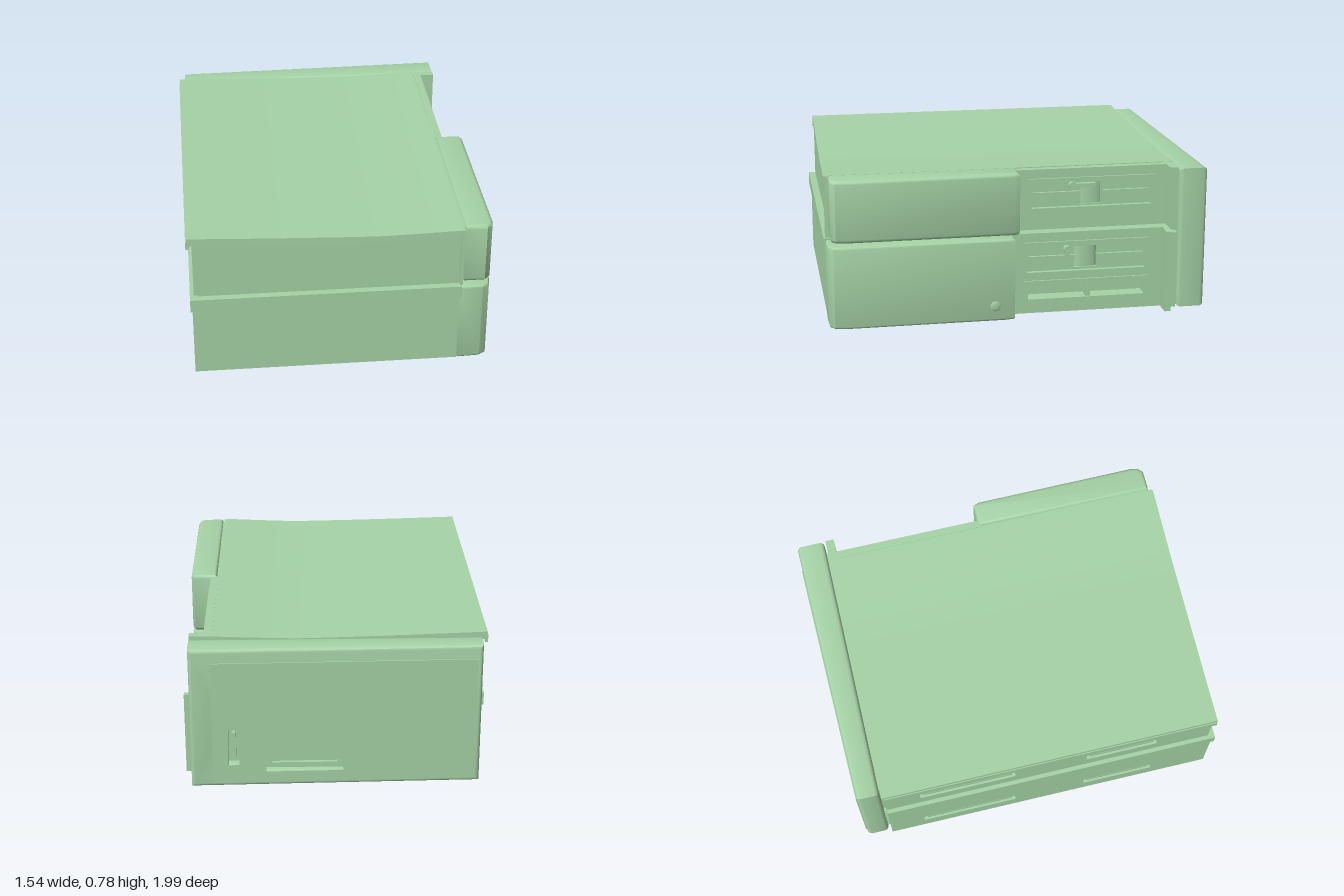
import * as THREE from 'three';
import { toCreasedNormals } from 'three/addons/utils/BufferGeometryUtils.js';

const mat = new THREE.MeshStandardMaterial({ color: 0xa6d3a6 });

export function createModel() {
  const root = new THREE.Group();
  root.name = 'stackedDriveUnits';

  const add = (name, geo, parent = root) => {
    const m = new THREE.Mesh(geo, mat);
    m.name = name;
    parent.add(m);
    return m;
  };

  // Box given by its limits on each axis
  const box = (name, [x0, x1], [y0, y1], [z0, z1], parent) => {
    const g = new THREE.BoxGeometry(x1 - x0, y1 - y0, z1 - z0);
    g.translate((x0 + x1) / 2, (y0 + y1) / 2, (z0 + z1) / 2);
    return add(name, g, parent);
  };

  const rect = (Type, [u0, u1], [v0, v1]) => {
    const p = new Type();
    p.moveTo(u0, v0); p.lineTo(u1, v0); p.lineTo(u1, v1); p.lineTo(u0, v1); p.closePath();
    return p;
  };

  // Upright plate across z and y with rectangular holes, facing +x (side 1) or -x (side -1)
  const plate = (name, side, [x0, x1], y, z, holes, parent) => {
    const toU = ([a, b]) => side > 0 ? [-b, -a] : [a, b];
    const s = rect(THREE.Shape, toU(z), y);
    for (const h of holes) s.holes.push(rect(THREE.Path, toU(h.z), h.y));
    const g = new THREE.ExtrudeGeometry(s, { depth: x1 - x0, bevelEnabled: false });
    g.rotateY(side * Math.PI / 2);
    g.translate(side > 0 ? x0 : x1, 0, 0);
    return add(name, g, parent);
  };

  // Block drawn in plan (x, z), raised along y with rounded edges
  const planBlock = (name, pts, [y0, y1], bevel, parent) => {
    const s = new THREE.Shape(pts.map(([x, z]) => new THREE.Vector2(x, -z)));
    let g = new THREE.ExtrudeGeometry(s, {
      depth: y1 - y0 - 2 * bevel, bevelThickness: bevel, bevelSize: bevel,
      bevelOffset: -bevel, bevelSegments: 3,
    });
    g.rotateX(-Math.PI / 2);
    g.translate(0, y0 + bevel, 0);
    return add(name, toCreasedNormals(g, 0.6), parent);
  };

  // Main cases with slotted side plates
  const slots = (y) => [{ z: [-0.64, -0.12], y }, { z: [0.27, 0.66], y }];
  box('lowerCase', [-0.73, 0.6], [0, 0.43], [-0.83, 0.98]);
  plate('lowerCaseSide', -1, [-0.75, -0.73], [0, 0.43], [-0.83, 0.98], slots([0.09, 0.16]));
  box('upperCase', [-0.72, 0.6], [0.44, 0.74], [-0.83, 0.955]);
  plate('upperCaseSide', -1, [-0.74, -0.72], [0.45, 0.74], [-0.83, 0.955], slots([0.53, 0.6]));

  // Ribs in the slots
  for (const [y0, x] of [[0.115, -0.735], [0.555, -0.725]])
    for (const z of [[-0.62, -0.14], [0.29, 0.64]])
      box('sideSlotRib', [x - 0.01, x + 0.01], [y0, y0 + 0.02], z);

  // Lower lid with overhanging lip
  box('lowerLid', [-0.76, 0.61], [0.375, 0.443], [-0.83, 0.992]);

  // Sagging upper lid, its front edge slightly skewed
  const lid = new THREE.BoxGeometry(1.37, 0.04, 1.8, 16, 1, 1);
  lid.translate(-0.08, 0, 0.06);
  const lp = lid.attributes.position;
  for (let i = 0; i < lp.count; i++) {
    const x = lp.getX(i), t = (x - 0.2) / 0.96;
    lp.setY(i, lp.getY(i) + 0.737 + 0.026 * Math.pow(Math.abs(t), 1.3) + (x > 0.2 ? 0.006 * (x - 0.2) / 0.4 : 0));
    if (lp.getZ(i) > 0) lp.setZ(i, 0.975 + 0.02 * x);
    else lp.setZ(i, -0.84);
  }
  add('upperLid', toCreasedNormals(lid, 0.5));
  box('upperLidHook', [-0.77, -0.755], [0.722, 0.762], [-0.83, 0.96]);

  // Thin strips between cases and control side
  box('upperSideStrip', [0.6, 0.615], [0.45, 0.768], [-0.83, 0.985]);
  box('upperSideBacking', [0.61, 0.63], [0.46, 0.765], [-0.82, 0.95]);

  // Protruding housings
  planBlock('lowerHousing', [[0.6, 0.985], [0.72, 0.98], [0.755, 0.955], [0.765, 0.9],
    [0.765, 0.08], [0.755, 0.025], [0.6, 0.025]], [0, 0.435], 0.012);
  planBlock('upperHousing', [[0.62, 0.965], [0.73, 0.965], [0.758, 0.94], [0.765, 0.9],
    [0.762, 0.03], [0.75, 0], [0.62, 0]], [0.453, 0.78], 0.02);
  const button = add('housingButton', new THREE.SphereGeometry(0.028, 20, 12));
  button.scale.x = 0.25;
  button.position.set(0.763, 0.08, 0.13);

  // Drive bays: raised frame, slot bar, finger recess and lever
  const driveBay = (name, face, y, z, leverUpright) => {
    const g = new THREE.Group();
    g.name = name;
    root.add(g);
    const [y0, y1] = y, [z0, z1] = z, m = (y0 + y1) / 2, c = (z0 + z1) / 2;
    const inner = { z: [z0 + 0.02, z1 - 0.02], y: [y0 + 0.02, y1 - 0.02] };
    plate('driveFrame', 1, [face - 0.03, face + 0.01], y, z, [inner], g);
    const notch = { z: [c - 0.06, c + 0.06], y: [m - 0.06, m + 0.055] };
    plate('driveFace', 1, [face - 0.035, face - 0.015], inner.y, inner.z, [notch], g);
    // Slot bar halves
    for (const zz of [[z0 + 0.03, c - 0.06], [c + 0.06, z1 - 0.03]])
      box('slotBar', [face - 0.02, face], [m - 0.012, m + 0.012], zz, g);
    // Curved grip inside the finger recess
    const grip = new THREE.CylinderGeometry(0.05, 0.05, 0.115, 24, 1, true, 0, Math.PI);
    grip.scale(0.4, 1, 1.2);
    grip.translate(face - 0.035, m, c);
    add('fingerGrip', grip, g);
    // Latch lever
    const lz = c + 0.1;
    if (leverUpright) box('latchLever', [face - 0.02, face + 0.012], [m - 0.06, m + 0.05], [lz - 0.014, lz + 0.014], g);
    else box('latchLever', [face - 0.02, face + 0.012], [m + 0.035, m + 0.055], [c - 0.02, lz], g);
    const pivot = new THREE.CylinderGeometry(0.02, 0.02, 0.036, 20);
    pivot.rotateZ(Math.PI / 2);
    pivot.translate(face - 0.003, m + 0.045, lz);
    add('latchPivot', toCreasedNormals(pivot, 0.6), g);
  };

  const upperBay = { z: [-0.73, -0.055], y: [0.545, 0.722] };
  const lowerBay = { z: [-0.7, -0.03], y: [0.205, 0.387] };
  const openBay = { z: [-0.68, -0.055], y: [0.078, 0.16] };
  plate('upperBayPanel', 1, [0.615, 0.655], [0.455, 0.77], [-0.79, 0.01], [upperBay]);
  plate('lowerBayPanel', 1, [0.6, 0.675], [0, 0.435], [-0.78, 0.03], [lowerBay, openBay]);
  driveBay('upperDrive', 0.655, upperBay.y, upperBay.z, false);
  driveBay('lowerDrive', 0.675, lowerBay.y, lowerBay.z, true);

  // Open bay frame and divider
  plate('openBayFrame', 1, [0.65, 0.685], [0.06, 0.178], [-0.7, -0.035], [openBay]);
  box('openBayDivider', [0.6, 0.675], [0.078, 0.16], [-0.39, -0.365]);

  // Flanges at the rear of the bays
  box('lowerFlange', [0.6, 0.768], [0, 0.435], [-0.805, -0.772]);
  box('lowerFlangeRear', [0.6, 0.73], [0.01, 0.42], [-0.84, -0.805]);
  box('upperFlange', [0.6, 0.73], [0.455, 0.77], [-0.835, -0.79]);

  // Core joining cases to the rear panel
  box('rearJoint', [-0.7, 0.68], [0.03, 0.72], [-0.88, -0.82]);

  // Rear panel with rounded rim, two slots and a slightly wedged face
  const back = rect(THREE.Shape, [-0.735, 0.73], [0.008, 0.762]);
  const backSlots = [[[0.485, 0.54], [0.13, 0.33]], [[-0.04, 0.35], [0.09, 0.15]]];
  for (const [x, y] of backSlots) back.holes.push(rect(THREE.Path, x, y));
  const wedge = (g) => {
    const p = g.attributes.position;
    for (let i = 0; i < p.count; i++)
      if (p.getZ(i) < -0.9) p.setZ(i, p.getZ(i) - 0.014 * p.getX(i) / 0.7);
    return toCreasedNormals(g, 0.6);
  };
  const panel = new THREE.ExtrudeGeometry(back, {
    depth: 0.09, bevelThickness: 0.022, bevelSize: 0.02, bevelOffset: -0.02, bevelSegments: 3,
  });
  panel.translate(0, 0, -0.957);
  add('rearPanel', wedge(panel));
  box('rearPanelCore', [-0.68, 0.68], [0.05, 0.71], [-0.945, -0.86]);

  // Raised field on the rear panel, open around the slots
  const field = rect(THREE.Shape, [-0.71, 0.62], [0.03, 0.69]);
  for (const [x, y] of backSlots) field.holes.push(rect(THREE.Path, x, y));
  const fieldGeo = new THREE.ExtrudeGeometry(field, { depth: 0.01, bevelEnabled: false });
  fieldGeo.translate(0, 0, -0.985);
  add('rearField', wedge(fieldGeo));

  // Bars inside the rear slots
  box('rearSlotKey', [0.502, 0.522], [0.16, 0.3], [-0.97, -0.94]);
  box('rearSlotBar', [-0.01, 0.32], [0.11, 0.128], [-0.965, -0.94]);

  // Small contacts on the rear joint's outer edge
  for (let i = 0; i < 8; i++)
    box('jointContact', [-0.72, -0.69], [0.06 + i * 0.04, 0.08 + i * 0.04], [-0.85, -0.83]);

  return root;
}
